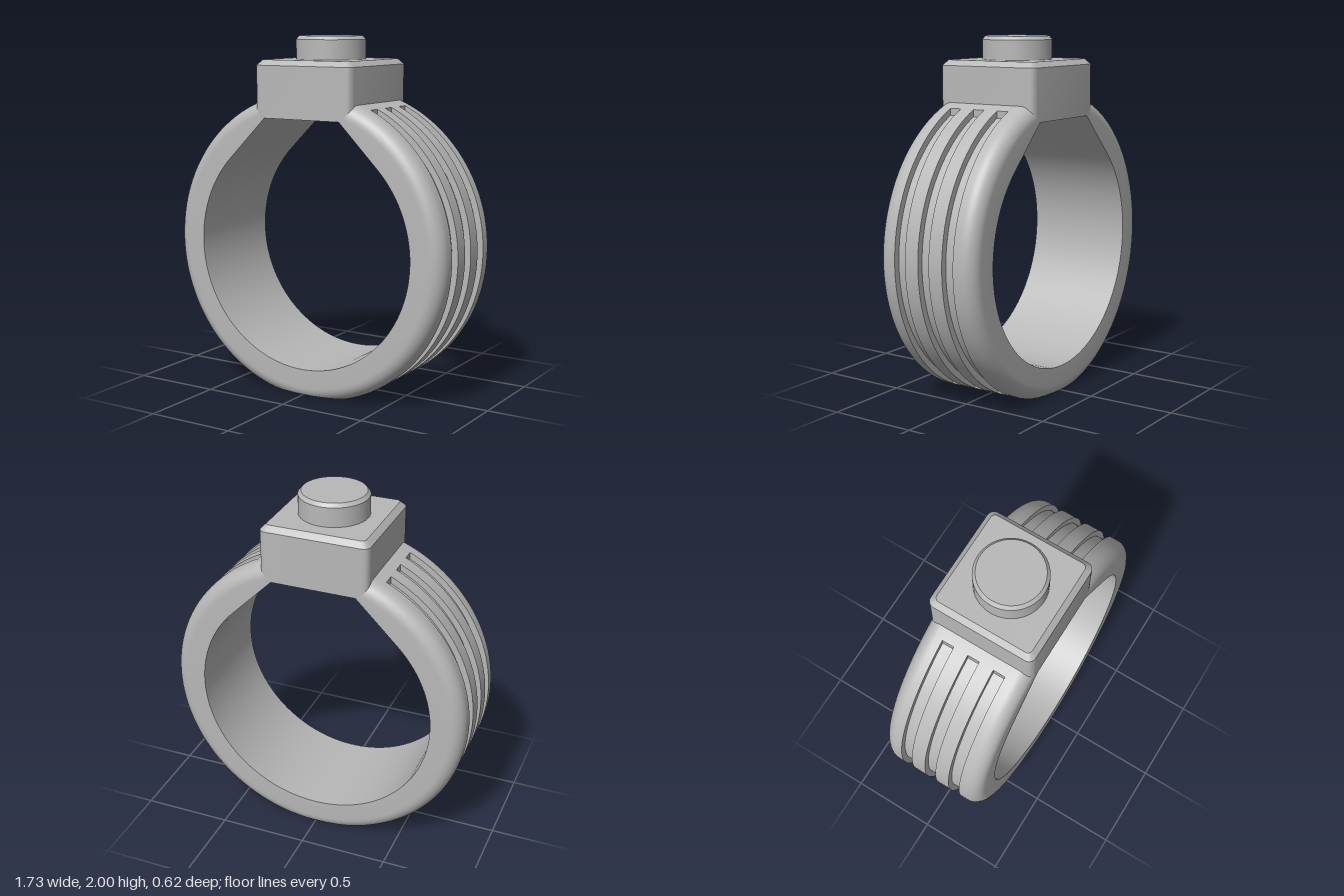
import * as THREE from 'three';
import { toCreasedNormals } from 'three/addons/utils/BufferGeometryUtils.js';

const CY = 0.83, OUTER = 0.865, INNER = 0.68, HALF = 0.31, FILLET = 0.08;
const FLOOR = 0.83, GROOVE_X = 0.37, SEAT_Y = 1.55;
const rad = THREE.MathUtils.degToRad;

// Skins a row of closed cross-sections, dropping collapsed triangles
function skin(sections, creaseDegrees) {
  const pos = [];
  const tri = (a, b, c) => {
    if (new THREE.Triangle(a, b, c).getArea() < 1e-8) return;
    for (const p of [a, b, c]) pos.push(p.x, p.y, p.z);
  };
  for (let i = 0; i + 1 < sections.length; i++) {
    const s = sections[i], t = sections[i + 1], n = s.length;
    for (let j = 0; j < n; j++) {
      const k = (j + 1) % n;
      tri(s[j], t[j], s[k]);
      tri(s[k], t[j], t[k]);
    }
  }
  const geo = new THREE.BufferGeometry();
  geo.setAttribute('position', new THREE.Float32BufferAttribute(pos, 3));
  return toCreasedNormals(geo, rad(creaseDegrees));
}

// Teardrop opening: a circle with 45 degree tangents rising to the flat seat
function innerRadius(a) {
  const t = Math.abs(Math.PI / 2 - Math.abs(a - Math.PI / 2 + (a < -Math.PI / 2 ? 2 * Math.PI : 0)));
  const up = Math.sin(a) > 0;
  return up && t > Math.PI / 4 ? INNER / Math.cos(t - Math.PI / 4) : INNER;
}

// One cross-section of the band at angle a
function bandSection(a, grooved) {
  const c = Math.cos(a), s = Math.sin(a);
  const at = (r, z) => new THREE.Vector3(r * c, Math.max(0, CY + r * s), z);
  const floorAt = (z) => {
    if (!grooved) return at(OUTER, z);
    const x = Math.max(Math.abs(FLOOR * c), GROOVE_X);
    return new THREE.Vector3(Math.sign(c) * x, CY + Math.sign(s) * Math.sqrt(Math.max(0, FLOOR * FLOOR - x * x)), z);
  };
  const pts = [at(innerRadius(a), HALF)];
  const fillet = (side, i) => {
    const f = (i / 10) * Math.PI / 2;
    pts.push(at(OUTER - FILLET + FILLET * Math.sin(f), side * (HALF - FILLET + FILLET * Math.cos(f))));
  };
  for (let i = 0; i <= 10; i++) fillet(1, i);
  for (const z of [0.155, 0, -0.155]) {
    pts.push(at(OUTER, z + 0.035), floorAt(z + 0.035), floorAt(z - 0.035), at(OUTER, z - 0.035));
  }
  for (let i = 10; i >= 0; i--) fillet(-1, i);
  pts.push(at(innerRadius(a), -HALF));
  return pts;
}

function bandGeometry() {
  const end = Math.atan2(SEAT_Y - CY, INNER * Math.SQRT2 - (SEAT_Y - CY));
  const cut = Math.acos(GROOVE_X / OUTER);
  const flat = Math.PI / 2 - Math.acos(CY / OUTER);
  // Angles where the shape changes, each followed by whether the span is grooved
  const right = [[end, false], [cut, true], [Math.PI / 4, true], [0, true], [-cut, false], [-flat, false]];
  const stops = [...right, [-Math.PI + flat, false], [-Math.PI + cut, true], [-Math.PI, true],
    [-1.25 * Math.PI, true], [-Math.PI - cut, false], [-Math.PI - end, false]];
  const sections = [];
  for (let i = 0; i + 1 < stops.length; i++) {
    const [a, grooved] = stops[i], b = stops[i + 1][0];
    const n = Math.ceil((a - b) / rad(3));
    for (let k = 0; k <= n; k++) sections.push(bandSection(a + (b - a) * k / n, grooved));
  }
  return skin(sections, 13);
}

// Rounded square outline at height y
function square(half, radius, y) {
  const pts = [];
  for (let q = 0; q < 4; q++) {
    const m = (q + 0.5) * Math.PI / 2, d = (half - radius) * Math.SQRT2;
    for (let i = 0; i <= 6; i++) {
      const f = (q + i / 6) * Math.PI / 2;
      pts.push(new THREE.Vector3(d * Math.cos(m) + radius * Math.cos(f), y, d * Math.sin(m) + radius * Math.sin(f)));
    }
  }
  return pts;
}

function blockGeometry() {
  const cap = (y) => square(0, 0, y);
  return skin([cap(SEAT_Y), square(HALF, 0.04, SEAT_Y), square(HALF, 0.04, 1.84),
    square(HALF - 0.03, 0.025, 1.87), cap(1.87)], 25);
}

// Round button with a chamfered rim
function buttonGeometry() {
  const profile = [[0.195, 1.86], [0.195, 1.98], [0.178, 2], [0, 2]].map(([x, y]) => new THREE.Vector2(x, y));
  return toCreasedNormals(new THREE.LatheGeometry(profile, 64), rad(25));
}

export function createModel() {
  const metal = new THREE.MeshStandardMaterial({ color: 0xb8b8b8 });
  metal.name = 'grey metal';
  const group = new THREE.Group();
  group.name = 'ring';
  const add = (name, geometry) => {
    const mesh = new THREE.Mesh(geometry, metal);
    mesh.name = name;
    group.add(mesh);
  };
  add('groovedBand', bandGeometry());
  add('squareBlock', blockGeometry());
  add('roundButton', buttonGeometry());
  return group;
}
